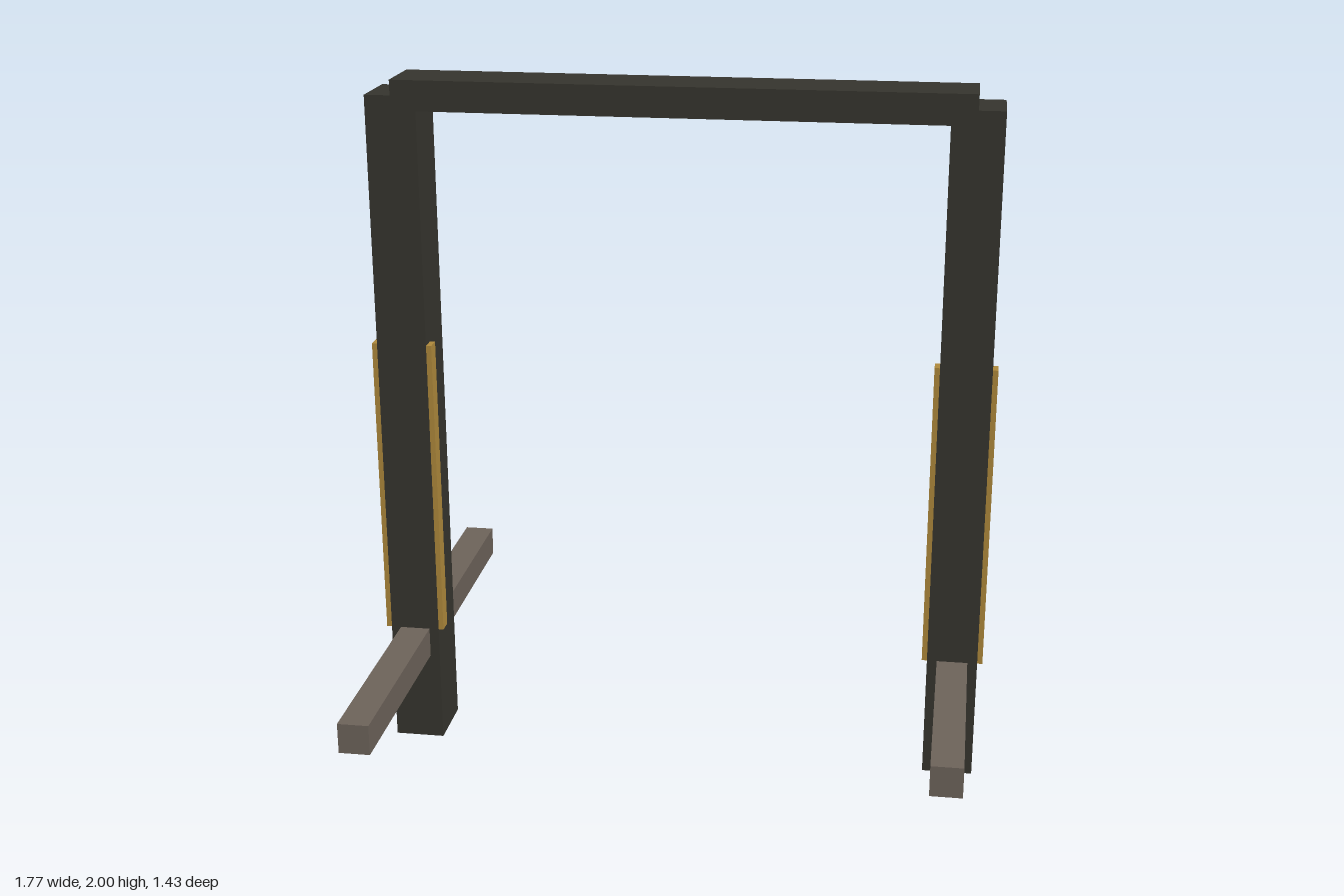
import * as THREE from 'three';

function material(name, color) {
  const m = new THREE.MeshStandardMaterial({ color });
  m.name = name;
  return m;
}

export function createModel() {
  const group = new THREE.Group();
  group.name = 'gateFrame';
  const darkWood = material('dark wood', 0x36352e);
  const greyWood = material('grey wood', 0x6e645b);
  const gold = material('gold', 0xb08a3c);

  // Box given by its extents on each axis
  function box(name, mat, [x0, x1], [y0, y1], [z0, z1]) {
    const mesh = new THREE.Mesh(new THREE.BoxGeometry(x1 - x0, y1 - y0, z1 - z0), mat);
    mesh.position.set((x0 + x1) / 2, (y0 + y1) / 2, (z0 + z1) / 2);
    mesh.name = name;
    group.add(mesh);
  }

  // Top beam, standing slightly proud of the posts
  box('topBeam', darkWood, [-0.798, 0.798], [1.915, 2], [-0.088, 0.088]);

  for (const [side, s] of [['left', 1], ['right', -1]]) {
    const span = (halfWidth) => [s * 0.799 - halfWidth, s * 0.799 + halfWidth];
    // Upright post
    box(side + 'Post', darkWood, span(0.072), [0, 1.957], [-0.088, 0.088]);
    // Cross bar running through the post, front to back
    box(side + 'CrossBar', greyWood, span(0.044), [0.27, 0.358], [-0.713, 0.713]);
    // Inlaid panel, its edges showing on both sides of the post
    box(side + 'Panel', gold, span(0.087), [0.358, 1.245], [0.044, 0.0875]);
  }
  return group;
}
